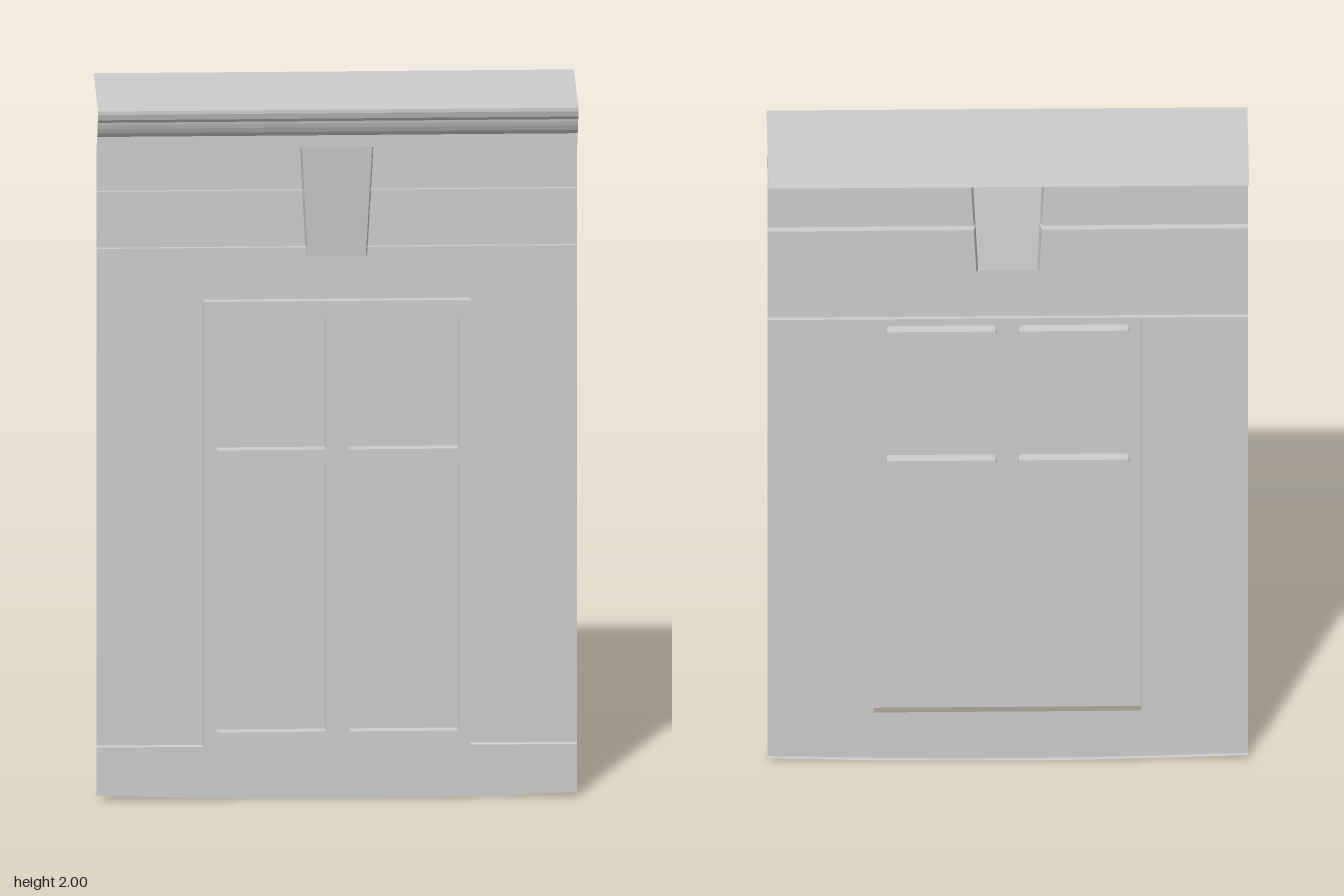
import * as THREE from 'three';

const W = 0.662;                       // half width of the facade
const material = new THREE.MeshStandardMaterial({ color: 0xcccccc, side: THREE.DoubleSide });

// Flat-shaded mesh from a list of four-cornered faces
function quadMesh(name, quads) {
  const positions = [];
  for (const [a, b, c, d] of quads) positions.push(...a, ...b, ...c, ...a, ...c, ...d);
  const geometry = new THREE.BufferGeometry();
  geometry.setAttribute('position', new THREE.Float32BufferAttribute(positions, 3));
  geometry.computeVertexNormals();
  const mesh = new THREE.Mesh(geometry, material);
  mesh.name = name;
  return mesh;
}

// Sweep a [z, y] profile sideways between two edges given as functions of y
function sweep(profile, left, right) {
  return profile.slice(1).map(([z1, y1], i) => {
    const [z0, y0] = profile[i];
    return [[left(y0), y0, z0], [right(y0), y0, z0], [right(y1), y1, z1], [left(y1), y1, z1]];
  });
}

// Wall standing on an [x, y] path, reaching from z0 to z1
function sleeve(path, z0, z1) {
  return path.slice(1).map(([bx, by], i) => {
    const [ax, ay] = path[i];
    return [[ax, ay, z0], [bx, by, z0], [bx, by, z1], [ax, ay, z1]];
  });
}

function roundedRect(target, x0, y0, x1, y1, r) {
  target.moveTo(x0 + r, y0).lineTo(x1 - r, y0).quadraticCurveTo(x1, y0, x1, y0 + r);
  target.lineTo(x1, y1 - r).quadraticCurveTo(x1, y1, x1 - r, y1);
  target.lineTo(x0 + r, y1).quadraticCurveTo(x0, y1, x0, y1 - r);
  target.lineTo(x0, y0 + r).quadraticCurveTo(x0, y0, x0 + r, y0);
  return target;
}

function flatMesh(name, shape, z) {
  const mesh = new THREE.Mesh(new THREE.ShapeGeometry(shape, 3), material);
  mesh.position.z = z;
  mesh.name = name;
  return mesh;
}

// Window: raised frame, open at the back and below, with four sunk panes
function createWindow() {
  const group = new THREE.Group();
  group.name = 'window';
  const hw = 0.368, y0 = 0.15, y1 = 1.423, wallZ = 0.047, frontZ = 0.085, paneZ = 0.052;
  const frame = new THREE.Shape();
  frame.moveTo(-hw, y0).lineTo(hw, y0).lineTo(hw, y1).lineTo(-hw, y1).closePath();
  for (const [x0, x1] of [[-0.335, -0.03], [0.03, 0.335]]) {
    for (const [b, t] of [[0.197, 0.963], [1.0, 1.378]]) {
      frame.holes.push(roundedRect(new THREE.Path(), x0, b, x1, t, 0.007));
      const pane = roundedRect(new THREE.Shape(), x0, b, x1, t, 0.007);
      const rim = pane.getPoints(3).map(p => [p.x, p.y]).reverse();
      group.add(flatMesh('pane', pane, paneZ));
      group.add(quadMesh('paneRim', sleeve(rim, paneZ, frontZ)));
    }
  }
  group.add(flatMesh('windowFrame', frame, frontZ));
  const outline = [[hw, y0], [hw, y1], [-hw, y1], [-hw, y0]];
  group.add(quadMesh('frameSides', sleeve(outline, wallZ, frontZ)));
  return group;
}

export function createModel() {
  const model = new THREE.Group();
  model.name = 'facade';
  const edge = x => () => x;
  const full = (name, profile) => model.add(quadMesh(name, sweep(profile, edge(-W), edge(W))));

  // Base course with a slightly sagging lower edge
  const base = [];
  const n = 12;
  const sag = x => 0.012 * Math.min(1, (x / 0.62) ** 2);
  for (let i = 0; i < n; i++) {
    const a = -W + (2 * W * i) / n, b = -W + (2 * W * (i + 1)) / n;
    const p = (x, y, z) => [x, y, z];
    base.push([p(a, sag(a), 0.047), p(b, sag(b), 0.047), p(b, sag(b), 0.06), p(a, sag(a), 0.06)]);
    base.push([p(a, sag(a), 0.06), p(b, sag(b), 0.06), p(b, 0.15, 0.06), p(a, 0.15, 0.06)]);
  }
  model.add(quadMesh('baseCourse', base));

  // Ledge and wall on either side of the window
  const wall = [[0.06, 0.15], [0.047, 0.152], [0.047, 1.423]];
  model.add(quadMesh('wallRight', sweep(wall, edge(-W), edge(-0.368))));
  model.add(quadMesh('wallLeft', sweep(wall, edge(0.368), edge(W))));

  model.add(createWindow());

  // Lintel band above the window
  full('lintelBand', [[0.047, 1.423], [0.06, 1.423], [0.06, 1.57]]);

  // Frieze with a thin fillet, interrupted by the keystone
  const frieze = [[0.06, 1.57], [0.047, 1.57], [0.047, 1.708], [0.069, 1.708],
    [0.069, 1.735], [0.058, 1.735], [0.058, 1.87]];
  const y0 = 1.545, y1 = 1.87;
  const along = (y, a, b) => a + ((b - a) * (y - y0)) / (y1 - y0);
  const backX = y => along(y, 0.085, 0.102);
  const frontX = y => along(y, 0.08, 0.097);
  const frontZ = y => along(y, 0.065, 0.097);
  model.add(quadMesh('friezeRight', sweep(frieze, edge(-W), y => -backX(y))));
  model.add(quadMesh('friezeLeft', sweep(frieze, backX, edge(W))));

  // Keystone: sloping front and two sides that follow the frieze
  const stone = sweep([[frontZ(y0), y0], [frontZ(y1), y1]], y => -frontX(y), frontX);
  const seat = [[0.06, y0], ...frieze];
  for (let i = 1; i < seat.length; i++) {
    const [za, a] = seat[i - 1], [zb, b] = seat[i];
    if (a === b) continue;
    const side = s => [[s * frontX(a), a, frontZ(a)], [s * backX(a), a, za],
      [s * backX(b), b, zb], [s * frontX(b), b, frontZ(b)]];
    stone.push(side(1), side(-1).reverse());
  }
  model.add(quadMesh('keystone', stone));

  // Moulded cornice, open at the ends, and the flat roof sheet
  full('cornice', [[0.058, 1.87], [0.122, 1.87], [0.122, 1.905], [0.132, 1.909], [0.142, 1.92],
    [0.15, 1.935], [0.155, 1.948], [0.168, 1.95], [0.17, 1.958], [0.182, 1.961],
    [0.193, 1.971], [0.199, 1.988], [0.208, 1.99], [0.208, 2]]);
  full('roof', [[0.208, 2], [-0.208, 2]]);

  return model;
}
